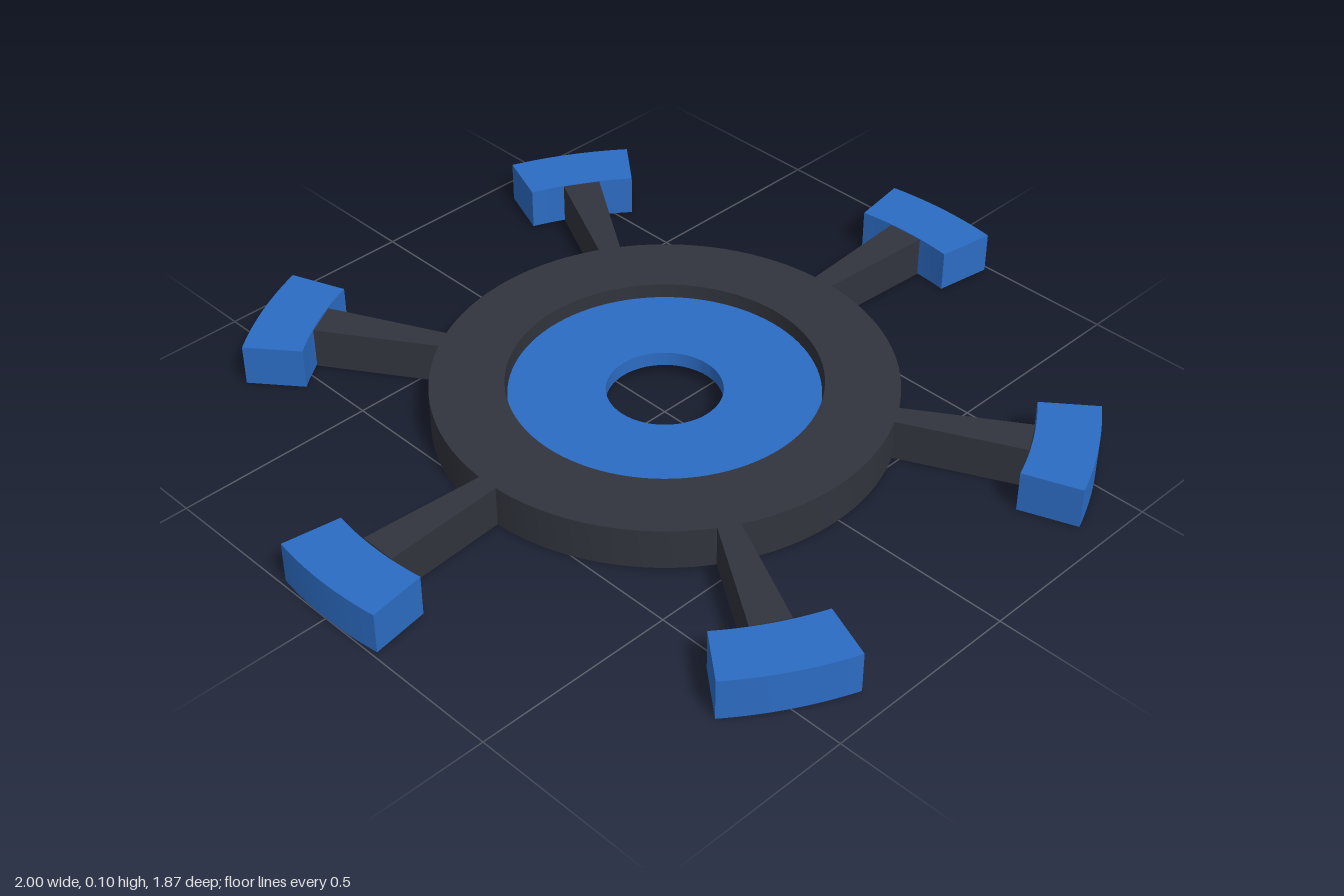
import * as THREE from 'three';
import { toCreasedNormals } from 'three/addons/utils/BufferGeometryUtils.js';

const HEIGHT = 0.104;
const ARMS = 6;

const dark = new THREE.MeshStandardMaterial({ color: 0x31343d });
const blue = new THREE.MeshStandardMaterial({ color: 0x2c6cc3 });

function addMesh(parent, name, geometry, material) {
  const mesh = new THREE.Mesh(geometry, material);
  mesh.name = name;
  parent.add(mesh);
  return mesh;
}

// Flat washer with a rectangular section between two radii and two heights
function washer(inner, outer, y0, y1) {
  const profile = [[inner, y0], [outer, y0], [outer, y1], [inner, y1], [inner, y0]]
    .map(([r, y]) => new THREE.Vector2(r, y));
  return toCreasedNormals(new THREE.LatheGeometry(profile, 96), 0.6);
}

// Plan outline raised to the full height, standing on y = 0
function slab(shape) {
  const geometry = new THREE.ExtrudeGeometry(shape, {
    depth: HEIGHT, bevelEnabled: false, curveSegments: 10,
  });
  geometry.rotateX(-Math.PI / 2);
  return toCreasedNormals(geometry, 0.6);
}

// Arm widening outwards from the ring
function spokeShape() {
  return new THREE.Shape([[0.53, -0.026], [0.852, -0.047], [0.852, 0.047], [0.53, 0.026]]
    .map(([x, y]) => new THREE.Vector2(x, y)));
}

// Ring sector at the arm's tip
function padShape() {
  const half = THREE.MathUtils.degToRad(8.9);
  const shape = new THREE.Shape();
  shape.absarc(0, 0, 1, -half, half, false);
  shape.absarc(0, 0, 0.855, half, -half, true);
  shape.closePath();
  return shape;
}

export function createModel() {
  const model = new THREE.Group();
  model.name = 'spokedWheel';

  // Hub: outer ring with a thinner disc held at mid height
  addMesh(model, 'ring', washer(0.37, 0.545, 0, HEIGHT), dark);
  addMesh(model, 'hubDisc', washer(0.137, 0.365, 0.034, 0.07), blue);

  // Arms with end pads, evenly spaced
  const spoke = slab(spokeShape());
  const pad = slab(padShape());
  for (let i = 0; i < ARMS; i++) {
    const arm = new THREE.Group();
    arm.name = `arm${i + 1}`;
    arm.rotation.y = (i / ARMS) * Math.PI * 2;
    addMesh(arm, 'spoke', spoke, dark);
    addMesh(arm, 'endPad', pad, blue);
    model.add(arm);
  }
  return model;
}
